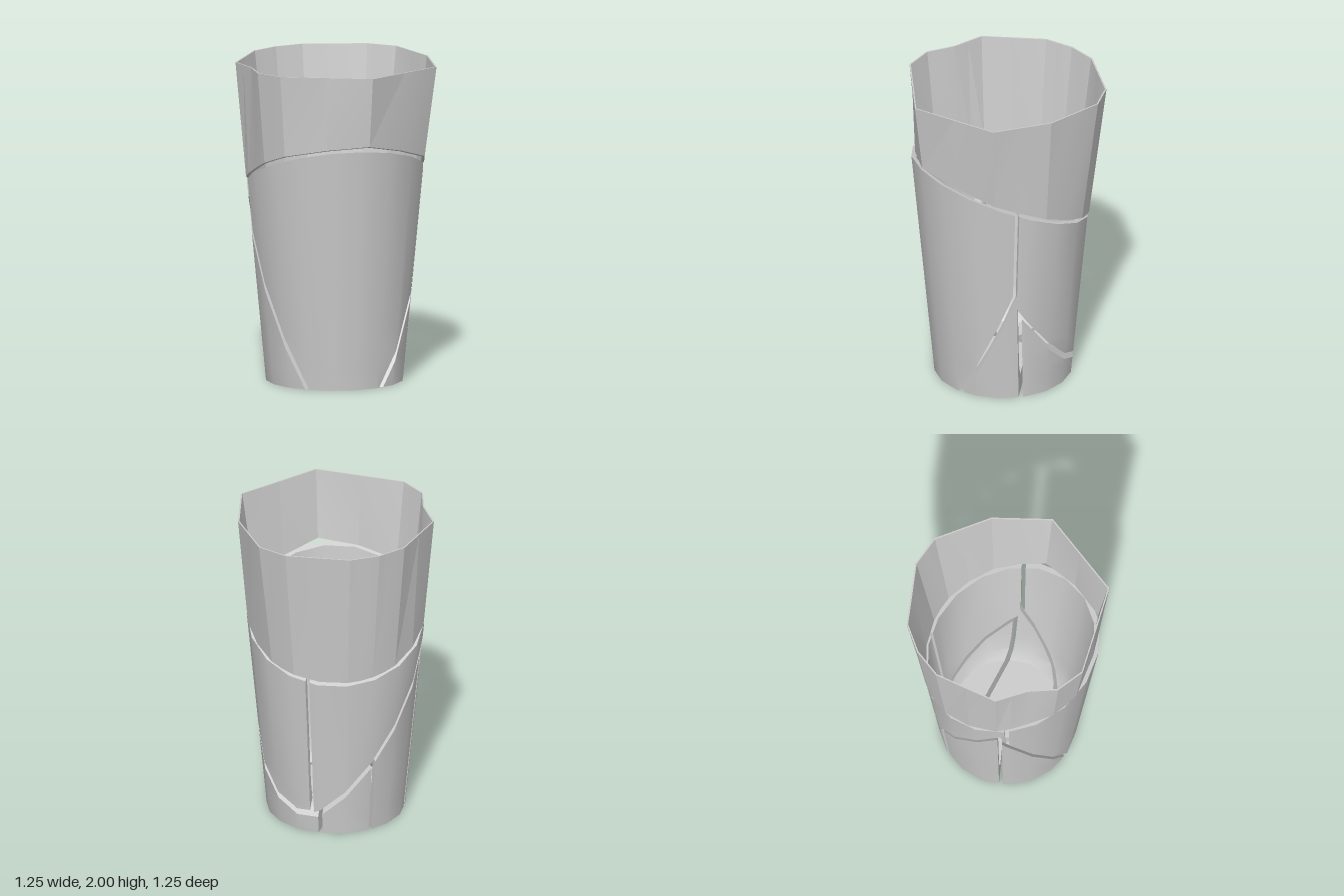
import * as THREE from 'three';
import { toCreasedNormals } from 'three/addons/utils/BufferGeometryUtils.js';

const V = (x, y, z) => new THREE.Vector3(x, y, z);
const GAP = 0.013;

// Break planes [nx, ny, nz, d] through the cup
const PLANES = {
  rim: [-0.375, 1, -0.18, 1.305],
  sideFront: [2, 1, -0.33, 0.29],
  sideFloor: [2, 1, 1.54, 0.79],
  halves: [0.87, 0, 0.59, 0.05],
  backLow: [-0.96, 1, -1.23, 0.81],
  floorBack: [0.32, 0, 0.47, -0.092],
  floorFrontRight: [0.97, 0, -0.23, -0.131],
  floorFront: [0.34, 0, -0.94, -0.175],
  floorBackRight: [0.97, 0, 0.24, -0.16],
  backRight: [-0.68, 0, 0.73, 0.022],
  middle: [0, 0, 1, 0.02],
  frontRight: [0.83, 0, 0.56, 0],
  leftLow: [-0.36, 1, -1.3, 0.636],
  backLeft: [-0.73, 0, 0.68, 0],
};

// Each shard keeps the far (+) or near (-) side of its planes
const SHARDS = {
  frontSideWall: ['-rim', '+sideFront', '+sideFloor', '+halves'],
  backWall: ['-rim', '-halves', '+backLow', '-backLeft'],
  sideWall: ['-rim', '-halves', '+leftLow', '+backLeft'],
  backBase: ['-backLow', '-floorBack', '-backRight'],
  centreBase: ['-sideFloor', '+floorBack', '+floorFrontRight', '+floorFront', '+floorBackRight'],
  sideBackBase: ['-leftLow', '-floorBackRight', '+backRight', '-middle'],
  sideFrontBase: ['-leftLow', '-rim', '-halves', '-floorFrontRight', '+middle', '-frontRight'],
  frontBase: ['-sideFront', '-floorFront', '+frontRight'],
};

// Cut a convex cell, keeping n.p >= d, and close it with a cap
function clip(faces, n, d) {
  const cut = [], out = [];
  for (const f of faces) {
    const pts = [];
    f.pts.forEach((a, i) => {
      const b = f.pts[(i + 1) % f.pts.length];
      const da = n.dot(a) - d, db = n.dot(b) - d;
      if (da >= 0) pts.push(a);
      if (da * db < 0) {
        const p = a.clone().lerp(b, da / (da - db));
        pts.push(p);
        if (!cut.some((q) => q.distanceTo(p) < 1e-5)) cut.push(p);
      }
    });
    if (pts.length > 2) out.push({ pts, hidden: f.hidden });
  }
  if (cut.length > 2) {
    const c = cut.reduce((s, p) => s.add(p), V(0, 0, 0)).divideScalar(cut.length);
    const u = cut[0].clone().sub(c).normalize();
    const w = n.clone().cross(u);
    const angle = (p) => Math.atan2(p.clone().sub(c).dot(w), p.clone().sub(c).dot(u));
    cut.sort((p, q) => angle(p) - angle(q));
    out.push({ pts: cut, hidden: false });
  }
  return out;
}

// Six-sided cell between two layers, each [outer0, outer1, inner0, inner1]
function cell(lo, hi, showBottom, showTop) {
  const face = (pts, hidden) => ({ pts, hidden });
  return [
    face([lo[0], lo[1], hi[1], hi[0]], false),
    face([lo[2], lo[3], hi[3], hi[2]], false),
    face([lo[0], lo[2], hi[2], hi[0]], true),
    face([lo[1], lo[3], hi[3], hi[1]], true),
    face([lo[0], lo[1], lo[3], lo[2]], !showBottom),
    face([hi[0], hi[1], hi[3], hi[2]], !showTop),
  ];
}

function piece(name, cells, cuts, crease) {
  const pos = [];
  for (let faces of cells) {
    for (const key of cuts) {
      const [x, y, z, d] = PLANES[key.slice(1)];
      const s = key[0] === '+' ? 1 : -1;
      const len = Math.hypot(x, y, z);
      faces = clip(faces, V(x, y, z).multiplyScalar(s / len), (s * d) / len + GAP);
    }
    const all = faces.flatMap((f) => f.pts);
    if (!all.length) continue;
    const mid = all.reduce((s, p) => s.add(p), V(0, 0, 0)).divideScalar(all.length);
    for (const f of faces) {
      if (f.hidden) continue;
      for (let i = 1; i + 1 < f.pts.length; i++) {
        const a = f.pts[0];
        let b = f.pts[i], c = f.pts[i + 1];
        const n = b.clone().sub(a).cross(c.clone().sub(a));
        if (n.length() < 1e-7) continue;
        if (n.dot(a.clone().sub(mid)) < 0) [b, c] = [c, b];
        for (const p of [a, b, c]) pos.push(p.x, p.y, p.z);
      }
    }
  }
  const geo = new THREE.BufferGeometry();
  geo.setAttribute('position', new THREE.Float32BufferAttribute(pos, 3));
  const mesh = new THREE.Mesh(
    toCreasedNormals(geo, crease),
    new THREE.MeshStandardMaterial({ color: 0xcccccc, side: THREE.DoubleSide })
  );
  mesh.name = name;
  return mesh;
}

export function createModel() {
  const group = new THREE.Group();
  group.name = 'brokenTumbler';
  const outer = (y) => 0.43 + 0.095 * y;

  // Lower cup: thick floor, then a thin tapering wall, in wedge cells
  const N = 18, cells = [];
  const layer = (i, y, inner) => {
    const at = (k, r) => V(Math.cos((k / N) * Math.PI * 2) * r, y, Math.sin((k / N) * Math.PI * 2) * r);
    return [at(i, outer(y)), at(i + 1, outer(y)), at(i, inner), at(i + 1, inner)];
  };
  const wall = [[0.12, 0.35], [0.19, 0.395], [0.34, outer(0.34) - 0.035], [1.75, outer(1.75) - 0.03]];
  for (let i = 0; i < N; i++) {
    cells.push(cell(layer(i, 0, 0), layer(i, 0.12, 0), true, true));
    for (let k = 0; k < wall.length - 1; k++) {
      cells.push(cell(layer(i, ...wall[k]), layer(i, ...wall[k + 1]), false, false));
    }
  }
  for (const [name, cuts] of Object.entries(SHARDS)) group.add(piece(name, cells, cuts, 0.5));

  // Upper ring: uneven faceted rim blending to a round lower edge
  const rim = [[-0.18, -0.63], [0.2, -0.58], [0.53, -0.39], [0.62, 0.18], [0.21, 0.59], [0.02, 0.62],
    [-0.15, 0.54], [-0.36, 0.5], [-0.6, 0.17], [-0.63, -0.02], [-0.6, -0.21], [-0.36, -0.54]];
  const top = rim.flatMap(([x, z], i) => {
    const [x2, z2] = rim[(i + 1) % rim.length];
    return [V(x, 2, z), V((x + x2) / 2, 2, (z + z2) / 2)];
  });
  const low = (p, r) => V(p.x, 0, p.z).setLength(r).setY(1.05);
  const thin = (p) => V(p.x * 0.985, 2, p.z * 0.985);
  const ring = top.map((a, i) => {
    const b = top[(i + 1) % top.length], r = outer(1.05);
    return cell([low(a, r), low(b, r), low(a, r - 0.025), low(b, r - 0.025)], [a, b, thin(a), thin(b)], false, true);
  });
  group.add(piece('upperRing', ring, ['+rim'], 0.25));
  return group;
}
